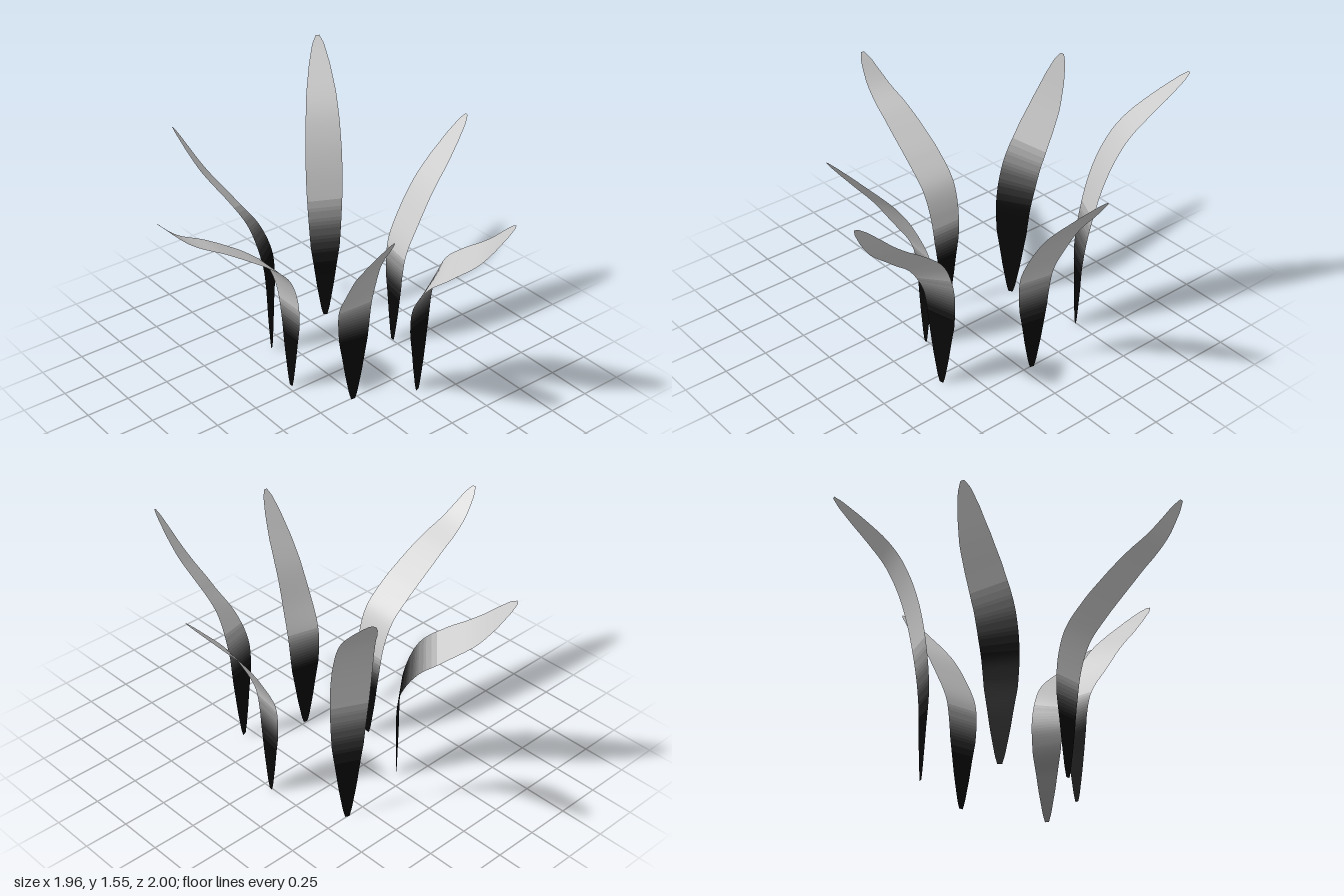
import * as THREE from 'three';

const { lerp, smoothstep } = THREE.MathUtils;
const ROWS = 80;
const SHADES = 14;

// Blade half width at fractions of its length, root to tip
const WIDTHS = [
  [0, 0.012], [0.03, 0.025], [0.12, 0.05], [0.2, 0.068], [0.27, 0.085], [0.33, 0.092],
  [0.39, 0.098], [0.45, 0.103], [0.52, 0.106], [0.6, 0.105], [0.7, 0.098], [0.8, 0.085],
  [0.9, 0.06], [0.97, 0.034], [1, 0.01],
];

// Side profiles: [share of outward reach, share of height]
const STRONG_BEND = [[0, 0], [0, 0.2], [0, 0.36], [0.03, 0.49], [0.1, 0.59], [0.26, 0.68], [0.4, 0.74], [0.58, 0.81], [0.81, 0.89], [1, 1]];
const MEDIUM_BEND = [[0, 0], [0, 0.2], [0, 0.37], [0.03, 0.48], [0.17, 0.62], [0.39, 0.715], [0.69, 0.83], [1, 1]];
const SOFT_BEND = [[0, 0], [0, 0.2], [0, 0.37], [0.04, 0.48], [0.2, 0.61], [0.4, 0.735], [0.7, 0.87], [1, 1]];
const TALL_BEND = [[0, 0], [0, 0.15], [0, 0.3], [0.05, 0.45], [0.15, 0.61], [0.27, 0.72], [0.43, 0.81], [1, 1]];

// root and tip are [x, z]; low and high are the directions of the blade's width
// near the root and, after its twist, near the tip; fade is the height range
// over which the dark base turns to light grey
const LEAVES = [
  { name: 'frontLeaf', root: [-0.05, 0.225], tip: [-0.07, 1.0], height: 1.295, low: [1, 0, 0], high: [1, 0, 0], bend: STRONG_BEND, fade: [0.28, 0.6] },
  { name: 'backLeaf', root: [-0.053, -0.505], tip: [-0.05, -1.0], height: 1.295, low: [0.985, 0, 0.17], high: [0.985, 0, 0.17], bend: SOFT_BEND, fade: [0.26, 0.66] },
  { name: 'leftBackLeaf', root: [0.407, -0.3], tip: [0.975, -0.395], height: 1.26, low: [0.26, 0, 0.965], high: [0.5, -0.4, 0.77], bend: MEDIUM_BEND, fade: [0.4, 0.76] },
  { name: 'leftFrontLeaf', root: [0.257, 0.032], tip: [0.735, 0.187], height: 1.26, low: [0.2, 0, -0.98], high: [0, 0.29, -0.955], bend: SOFT_BEND, fade: [0.34, 0.66] },
  { name: 'rightFrontLeaf', root: [-0.412, 0.093], tip: [-0.97, 0.33], height: 1.26, low: [0.62, 0, 0.785], high: [0.64, 0.41, 0.65], bend: MEDIUM_BEND, fade: [0.55, 0.95] },
  { name: 'rightBackLeaf', root: [-0.5, -0.362], tip: [-0.942, -0.65], height: 1.555, low: [0.44, 0, -0.9], high: [0.44, 0, -0.9], bend: TALL_BEND, fade: [0.3, 0.85] },
];

// Greys from the dark base to the light blade
const MATERIALS = Array.from({ length: SHADES + 1 }, (_, i) => {
  const v = lerp(0.03, 0.8, i / SHADES);
  const color = new THREE.Color().setRGB(v, v, v, THREE.SRGBColorSpace);
  return new THREE.MeshStandardMaterial({ color, side: THREE.DoubleSide });
});

function halfWidth(t) {
  const i = Math.max(1, WIDTHS.findIndex(([at]) => at >= t));
  const [[t0, w0], [t1, w1]] = [WIDTHS[i - 1], WIDTHS[i]];
  return lerp(w0, w1, (t - t0) / (t1 - t0));
}

// Triangles of a two-vertex-wide ribbon
function ribbonIndex(rows) {
  const index = [];
  for (let a = 0; a < rows * 2; a += 2) index.push(a, a + 1, a + 3, a, a + 3, a + 2);
  return index;
}

// Thin ribbon swept along a bent midrib, split into bands of one shade each
function makeLeaf({ name, root, tip, height, low, high, bend, fade }) {
  const midrib = new THREE.CatmullRomCurve3(bend.map(([out, up]) => new THREE.Vector3(
    lerp(root[0], tip[0], out), up * height, lerp(root[1], tip[1], out),
  )));
  const lowSide = new THREE.Vector3(...low);
  const highSide = new THREE.Vector3(...high);
  // Keep the outer face in front whichever way the width runs
  const outward = new THREE.Vector3(tip[0] - root[0], 0, tip[1] - root[1]);
  const sign = Math.sign(lowSide.clone().cross(new THREE.Vector3(0, 1, 0)).dot(outward));

  const positions = [];
  const shades = [];
  for (let row = 0; row <= ROWS; row++) {
    const t = row / ROWS;
    const centre = midrib.getPointAt(t);
    const side = lowSide.clone().lerp(highSide, smoothstep(t, 0.3, 0.65)).normalize();
    for (const s of [-sign, sign]) positions.push(...centre.clone().addScaledVector(side, s * halfWidth(t)));
    shades.push(Math.round(SHADES * smoothstep(centre.y, ...fade)));
  }
  const whole = new THREE.BufferGeometry();
  whole.setAttribute('position', new THREE.Float32BufferAttribute(positions, 3));
  whole.setIndex(ribbonIndex(ROWS));
  whole.computeVertexNormals();

  const leaf = new THREE.Group();
  leaf.name = name;
  for (let start = 0, end; start < ROWS; start = end) {
    end = start + 1;
    while (end < ROWS && shades[end] === shades[start]) end++;
    const band = new THREE.BufferGeometry();
    for (const key of ['position', 'normal']) {
      const part = whole.getAttribute(key).array.slice(start * 6, (end + 1) * 6);
      band.setAttribute(key, new THREE.BufferAttribute(part, 3));
    }
    band.setIndex(ribbonIndex(end - start));
    const mesh = new THREE.Mesh(band, MATERIALS[shades[start]]);
    mesh.name = start === 0 ? 'darkBase' : end === ROWS ? 'blade' : 'fadeBand';
    leaf.add(mesh);
  }
  return leaf;
}

export function createModel() {
  const group = new THREE.Group();
  group.name = 'leaves';
  for (const leaf of LEAVES) group.add(makeLeaf(leaf));
  return group;
}
